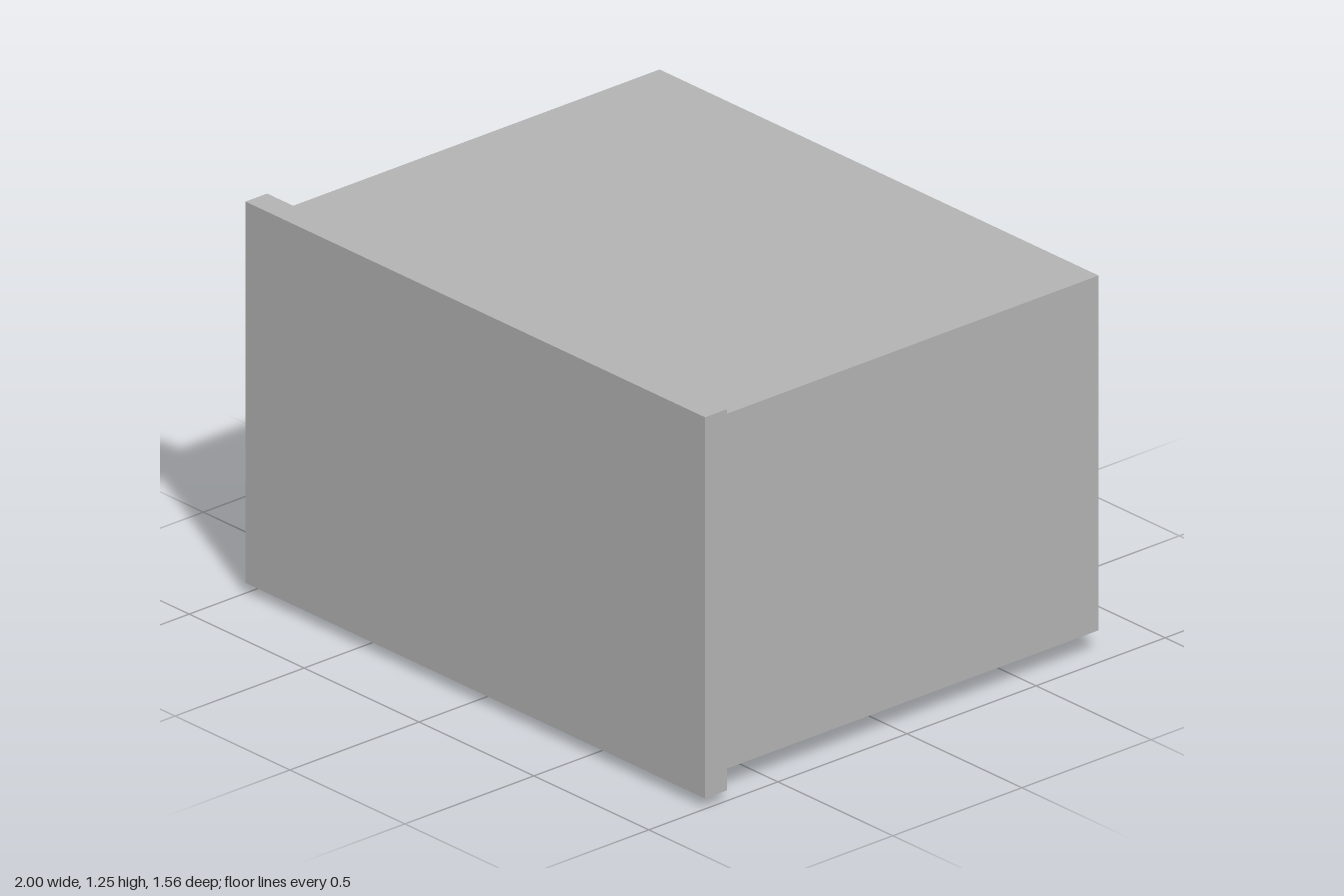
import * as THREE from 'three';

export function createModel() {
  const model = new THREE.Group();
  model.name = 'cabinet';
  const grey = new THREE.MeshStandardMaterial({ color: 0xb3b3b3 });
  grey.name = 'plain grey';

  // Box given by its limits on each axis
  function box(name, [x0, x1], [y0, y1], [z0, z1]) {
    const mesh = new THREE.Mesh(new THREE.BoxGeometry(x1 - x0, y1 - y0, z1 - z0), grey);
    mesh.position.set((x0 + x1) / 2, (y0 + y1) / 2, (z0 + z1) / 2);
    mesh.name = name;
    model.add(mesh);
  }

  // Carcass and the wider slab across its front
  box('carcass', [-0.955, 0.955], [0.075, 1.205], [-0.782, 0.7]);
  box('frontSlab', [-1, 1], [0.033, 1.247], [0.698, 0.782]);

  // Pair of doors on the underside, each with a bar handle near the middle
  for (const [side, s] of [['left', 1], ['right', -1]]) {
    const span = (a, b) => (s > 0 ? [a, b] : [-b, -a]);
    box(side + 'Door', span(0.045, 0.852), [0.043, 0.075], [-0.635, 0.582]);
    box(side + 'Handle', span(0.094, 0.143), [0, 0.043], [-0.085, 0.175]);
  }
  return model;
}
